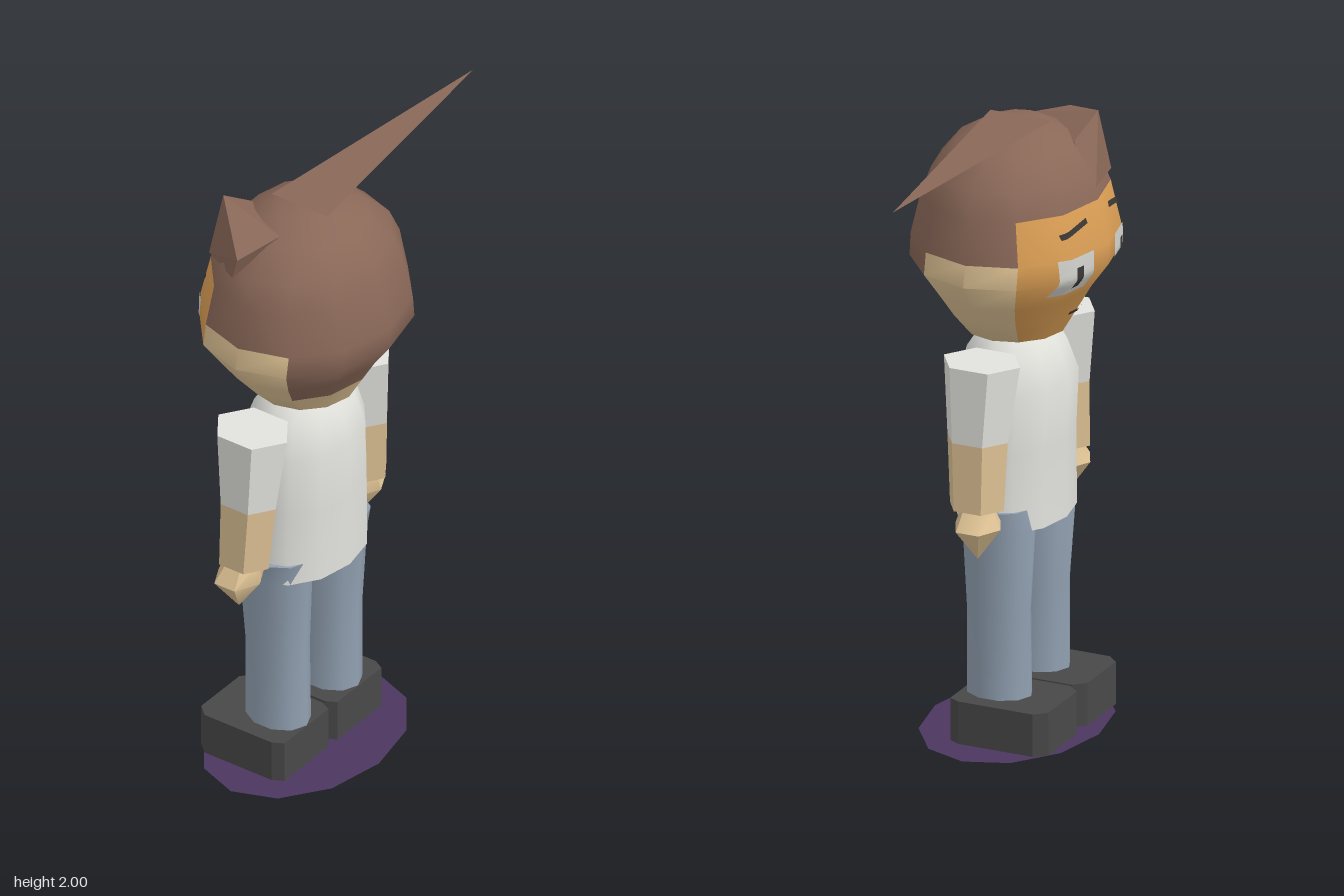
import * as THREE from 'three';
import { toCreasedNormals } from 'three/addons/utils/BufferGeometryUtils.js';
import { ConvexGeometry } from 'three/addons/geometries/ConvexGeometry.js';

const CX = -0.24; // body axis; the hair spike pushes the body off centre

function createMaterials() {
  const colors = {
    hair: 0x8a6858, skin: 0xdec294, face: 0xdc9f55, shirt: 0xe2e2dd, trousers: 0x91a0b1,
    shoes: 0x484848, disc: 0x4c3660, eyeWhite: 0xd2d2ce, ink: 0x3a3835,
  };
  const mats = {};
  for (const [name, color] of Object.entries(colors)) {
    mats[name] = new THREE.MeshStandardMaterial({ color });
    mats[name].name = name;
  }
  mats.hair.side = mats.disc.side = THREE.DoubleSide;
  return mats;
}

// Elliptical rings [y, cx, cz, rx, rz] from bottom to top; pick(ring, segment) gives the material slot
function loft(rings, n, crease, pick = () => 0) {
  const pos = [], slots = [];
  for (const [y, cx, cz, rx, rz] of rings) {
    for (let j = 0; j < n; j++) {
      const a = (j / n) * Math.PI * 2;
      pos.push(cx + rx * Math.sin(a), y, cz + rz * Math.cos(a));
    }
  }
  for (let i = 0; i < rings.length - 1; i++) {
    for (let j = 0; j < n; j++) {
      const k = (j + 1) % n, a = i * n + j, b = i * n + k, c = b + n, d = a + n;
      const list = (slots[pick(i, j)] ??= []);
      if (rings[i][3] > 0) list.push(a, b, c);
      if (rings[i + 1][3] > 0) list.push(a, c, d);
    }
  }
  const geo = new THREE.BufferGeometry();
  geo.setAttribute('position', new THREE.Float32BufferAttribute(pos, 3));
  let start = 0;
  slots.forEach((list, slot) => { geo.addGroup(start, list.length, slot); start += list.length; });
  geo.setIndex(slots.flat());
  return toCreasedNormals(geo, crease);
}

// Closes both ends of a ring list with a centre point
function capped(rings) {
  const end = ([y, cx, cz]) => [y, cx, cz, 0, 0];
  return [end(rings[0]), ...rings, end(rings[rings.length - 1])];
}

export function createModel() {
  const model = new THREE.Group();
  const m = createMaterials();
  const add = (name, geo, mat, parent = model) => {
    const mesh = new THREE.Mesh(geo, mat);
    mesh.name = name;
    parent.add(mesh);
    return mesh;
  };

  // Head: hair cap, skin sides and face on one skull (the face looks towards -z)
  const HX = -0.232;
  const skull = capped([
    [1.315, 0.17, 0.16], [1.4, 0.255, 0.21], [1.47, 0.31, 0.25], [1.56, 0.375, 0.315],
    [1.63, 0.36, 0.315], [1.77, 0.338, 0.28], [1.85, 0.3, 0.25], [1.93, 0.21, 0.185], [1.982, 0.1, 0.09],
  ].map(([y, rx, rz]) => [y, HX, 0, rx, rz]));
  const headGeo = loft(skull, 12, 0.9, (i, j) => {
    if (i === 0) return 1;
    if (j >= 4 && j < 8) return i < 6 ? 2 : 0; // face
    const back = j < 2 || j >= 10;
    return i >= 5 || (back && i >= 2) ? 0 : 1;
  });
  const head = add('head', headGeo, [m.hair, m.skin, m.face]);

  // Hair tuft above the brow
  add('hairTuft', new ConvexGeometry([
    [-0.38, 2.0, -0.21], [-0.555, 1.925, -0.03], [-0.54, 1.84, -0.06], [-0.36, 1.94, -0.1],
    [-0.25, 1.8, -0.265], [-0.42, 1.8, -0.235], [-0.27, 1.93, -0.18], [-0.4, 1.95, 0.02],
  ].map((p) => new THREE.Vector3(...p))), m.hair);

  // Long flat hair spike
  const spike = new THREE.BufferGeometry();
  spike.setAttribute('position', new THREE.Float32BufferAttribute(
    [-0.27, 1.987, -0.105, -0.27, 1.987, 0.105, 0.64, 1.987, 0], 3));
  spike.computeVertexNormals();
  add('hairSpike', spike, m.hair);

  // Painted features, wrapped onto the front of the head
  const ray = new THREE.Raycaster();
  const toward = new THREE.Vector3(0, 0, 1);
  const paint = (name, dx, y, w, h, tilt, lift, mat) => {
    const geo = new THREE.PlaneGeometry(w, h, 8, 8).rotateZ(tilt).rotateY(Math.PI).translate(HX + dx, y, 0);
    const p = geo.attributes.position;
    for (let i = 0; i < p.count; i++) {
      ray.set(new THREE.Vector3(p.getX(i), p.getY(i), -1), toward);
      const hit = ray.intersectObject(head)[0];
      p.setZ(i, (hit ? hit.point.z : -0.25) - lift);
    }
    geo.computeVertexNormals();
    add(name, geo, mat);
  };
  for (const s of [-1, 1]) {
    paint('eye', s * 0.145, 1.57, 0.14, 0.125, 0, 0.005, m.eyeWhite);
    paint('pupil', s * 0.145, 1.565, 0.03, 0.07, 0, 0.009, m.ink);
    paint('eyebrow', s * 0.135, 1.715, 0.12, 0.018, s * 0.2, 0.005, m.ink);
  }
  paint('mouth', 0, 1.395, 0.09, 0.012, 0, 0.005, m.ink);

  // Shirt
  add('shirt', loft(capped([
    [0.7, CX, 0, 0.24, 0.17], [0.95, CX, 0, 0.236, 0.168], [1.15, CX, -0.005, 0.226, 0.175],
    [1.25, CX, 0, 0.19, 0.145], [1.33, CX, 0, 0.125, 0.09],
  ]), 12, 1.0), m.shirt);

  for (const s of [-1, 1]) {
    const side = s > 0 ? 'left' : 'right';
    const at = (y, dx, dz, rx, rz) => [y, CX + s * dx, dz, rx, rz];

    // Arm: six-sided sleeve, forearm and pointed hand
    const arm = new THREE.Group();
    arm.name = side + 'Arm';
    model.add(arm);
    add('sleeve', loft(capped([
      at(1.035, 0.29, -0.005, 0.087, 0.103), at(1.28, 0.265, -0.008, 0.11, 0.13),
    ]), 6, 0.9), m.shirt, arm);
    add('forearm', loft(capped([
      at(0.815, 0.305, -0.01, 0.08, 0.092), at(1.035, 0.29, -0.005, 0.087, 0.103),
    ]), 6, 0.9), m.skin, arm);
    add('hand', loft(capped([
      at(0.65, 0.32, -0.02, 0.002, 0.002), at(0.755, 0.318, -0.02, 0.09, 0.077), at(0.812, 0.31, -0.015, 0.055, 0.055),
    ]), 6, 0.9), m.skin, arm);

    // Leg
    add(side + 'Leg', loft(capped([
      at(0.13, 0.134, -0.005, 0.086, 0.108), at(0.42, 0.137, -0.005, 0.089, 0.104),
      at(0.7, 0.143, -0.008, 0.1, 0.12), at(0.77, 0.15, 0, 0.1, 0.12),
    ]), 10, 0.9), m.trousers);

    // Shoe: block with clipped corners, toe towards -z
    const outline = new THREE.Shape([
      [-0.115, -0.105], [0.115, -0.105], [0.134, -0.07], [0.134, 0.185],
      [0.1, 0.222], [-0.1, 0.222], [-0.134, 0.185], [-0.134, -0.07],
    ].map(([x, y]) => new THREE.Vector2(x, y)));
    const shoe = new THREE.ExtrudeGeometry(outline, { depth: 0.14, bevelEnabled: false });
    shoe.rotateX(-Math.PI / 2).translate(CX + s * 0.139, 0.005, 0);
    add(side + 'Shoe', shoe, m.shoes);
  }

  // Flat disc under the feet
  const disc = new THREE.CircleGeometry(1, 12).rotateX(-Math.PI / 2).scale(0.39, 1, 0.28).translate(CX, 0, 0);
  add('groundDisc', disc, m.disc);

  return model;
}
